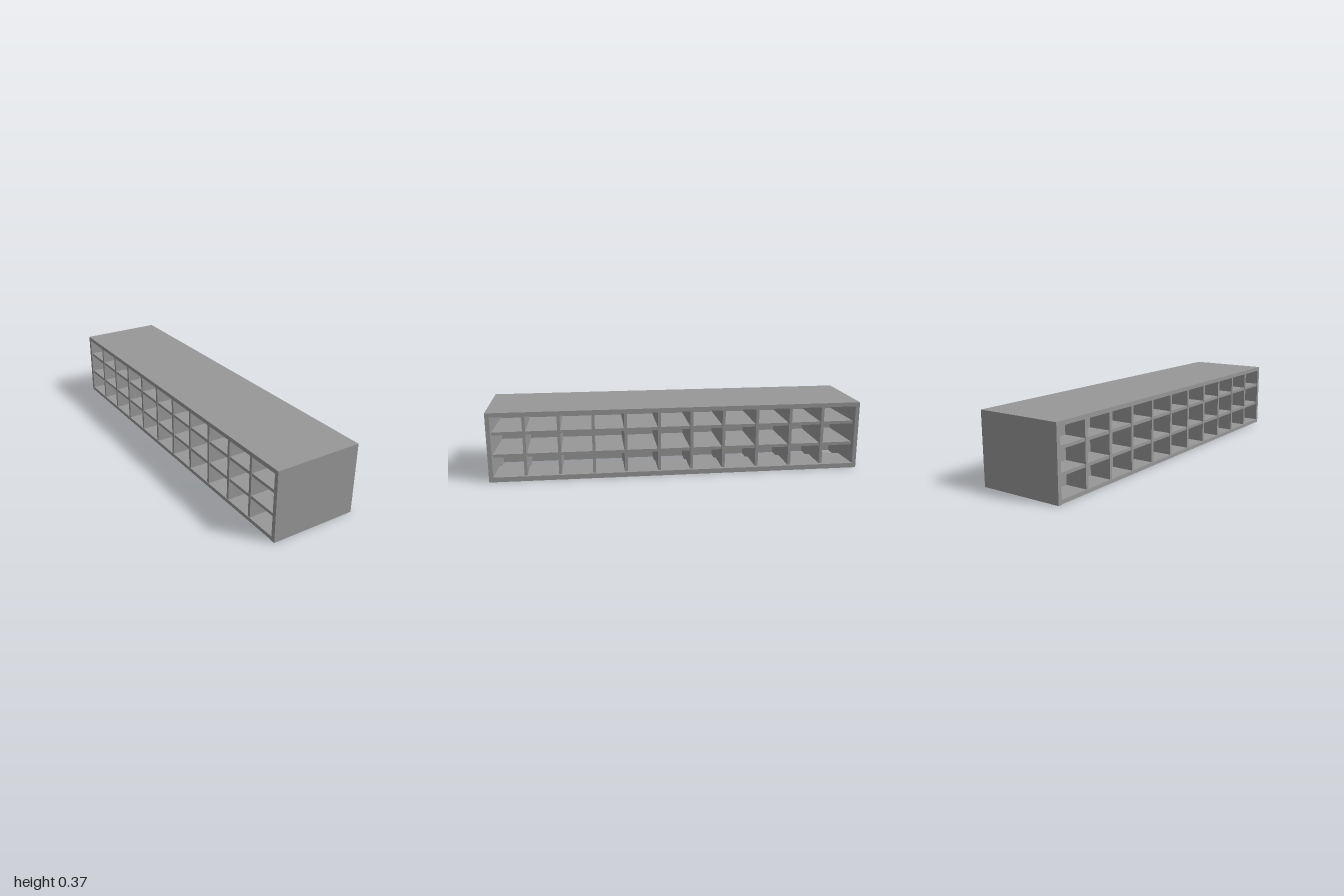
import * as THREE from 'three';

export function createModel() {
  const group = new THREE.Group();
  const material = new THREE.MeshStandardMaterial({ color: 0x979797, flatShading: true });

  // Box given by its minimum and maximum corners
  const box = (name, x0, x1, y0, y1, z0, z1) => {
    const mesh = new THREE.Mesh(new THREE.BoxGeometry(x1 - x0, y1 - y0, z1 - z0), material);
    mesh.position.set((x0 + x1) / 2, (y0 + y1) / 2, (z0 + z1) / 2);
    mesh.name = name;
    group.add(mesh);
    return mesh;
  };

  // Thickens a wall towards the partition: moves its inner face where x is low
  const taper = (mesh, axis, inward, amount) => {
    const p = mesh.geometry.attributes.position;
    for (let i = 0; i < p.count; i++) {
      if (p.getX(i) < 0 && p.getComponent(i, axis) * inward > 0) {
        p.setComponent(i, axis, p.getComponent(i, axis) + inward * amount);
      }
    }
    mesh.geometry.computeVertexNormals();
  };

  const W = 0.231, H = 0.373, L = 1;
  const wall = 0.022, panelX = -0.1, panelT = 0.01;
  const inner = L - wall;

  // Outer case, with slightly tapered walls on the deep side
  box('topPanel', -W, panelX, H - wall, H, -L, L);
  taper(box('topPanel', panelX, W, H - wall, H, -L, L), 1, -1, 0.008);
  for (const s of [-1, 1]) {
    const z0 = Math.min(s * L, s * inner), z1 = Math.max(s * L, s * inner);
    box('endPanel', -W, panelX, 0, H - wall, z0, z1);
    taper(box('endPanel', panelX, W, 0, H - wall, z0, z1), 2, -s, 0.015);
  }

  // Front rail under the deep side
  box('frontRail', W - 0.015, W, 0, 0.026, -inner, inner);

  // Partition between the two sides, and the floors
  box('partition', panelX - panelT, panelX, 0.01, H - wall, -inner, inner);
  box('shallowFloor', -W, panelX, 0.002, 0.022, -inner, inner);
  box('deepFloor', 0.04, W - 0.015, 0.017, 0.026, -inner, inner);

  // Shelves on both sides of the partition
  for (const y of [0.134, 0.255]) {
    box('deepShelf', panelX, W - 0.03, y - 0.008, y + 0.008, -inner, inner);
    box('shallowShelf', -W + 0.006, panelX - panelT, y - 0.008, y + 0.008, -inner, inner);
  }

  // Uprights of the deep side, unevenly spaced
  for (const z of [0.81, 0.63, 0.45, 0.28, 0.1, -0.075, -0.25, -0.435, -0.62, -0.8]) {
    box('deepDivider', panelX, W - 0.017, 0.005, H - wall, z - 0.008, z + 0.008);
  }

  // Uprights of the shallow side, making eleven equal columns
  const columns = 11, pitch = (2 * inner) / columns;
  for (let i = 1; i < columns; i++) {
    const z = -inner + i * pitch;
    box('shallowDivider', -W + 0.003, panelX - panelT, 0.002, H - wall, z - 0.008, z + 0.008);
  }

  return group;
}
